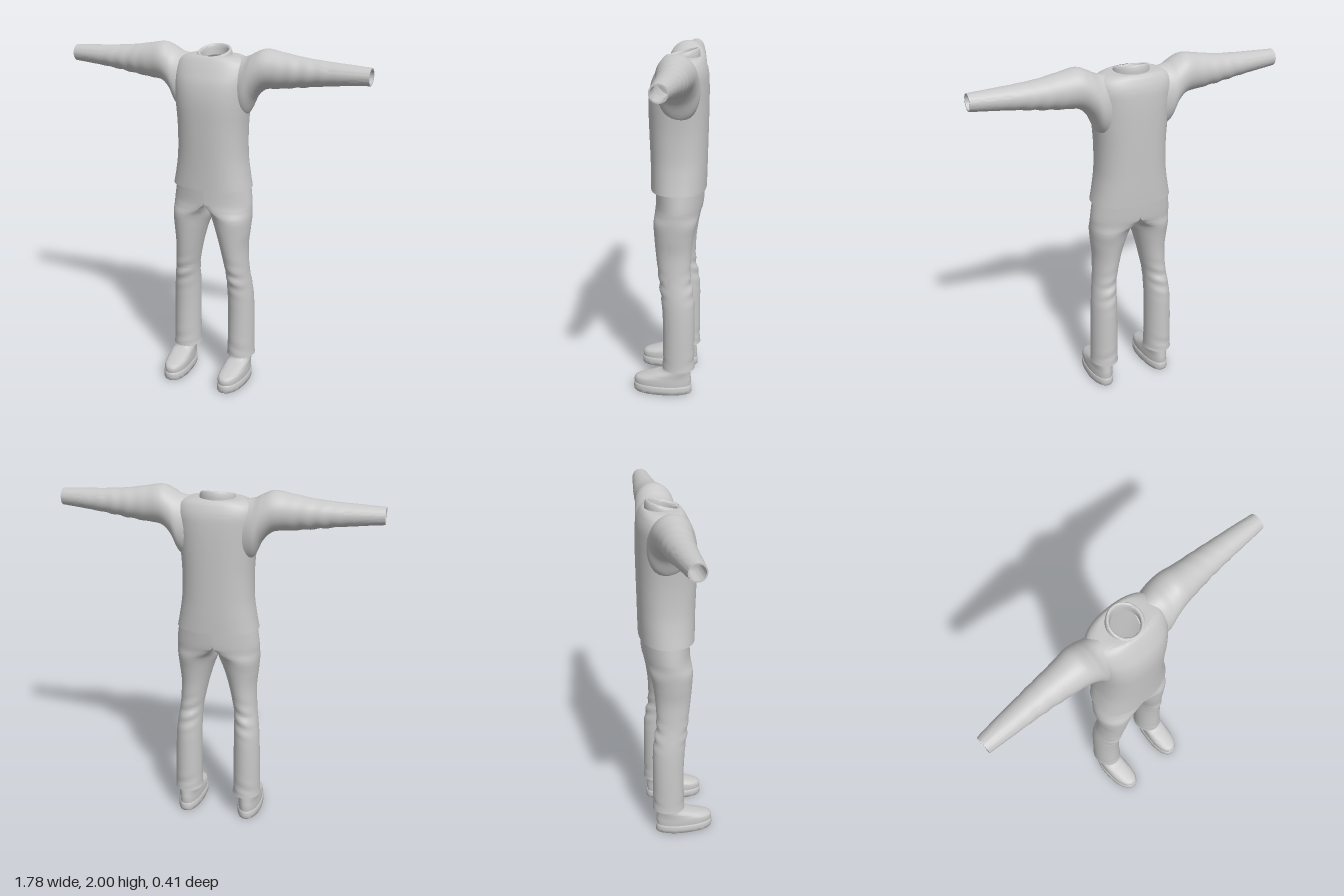
import * as THREE from 'three';
import { toCreasedNormals } from 'three/addons/utils/BufferGeometryUtils.js';

// Smooth interpolation between rows of ring parameters
function sampleRows(rows, sub) {
  const out = [];
  const at = (i) => rows[Math.min(Math.max(i, 0), rows.length - 1)];
  for (let i = 0; i < rows.length - 1; i++) {
    for (let s = 0; s < sub; s++) {
      const f = s / sub;
      out.push(rows[i].map((p1, k) => {
        const p0 = at(i - 1)[k], p2 = at(i + 1)[k], p3 = at(i + 2)[k];
        return p1 + 0.5 * f * (p2 - p0 + f * (2 * p0 - 5 * p1 + 4 * p2 - p3 + f * (3 * (p1 - p2) + p3 - p0)));
      }));
    }
  }
  out.push(rows[rows.length - 1]);
  return out;
}

// Skin a series of closed rings; side = -1 mirrors across x
function loft(rows, point, { side = 1, n = 40, sub = 6, capStart = false, capEnd = false } = {}) {
  const rings = sampleRows(rows, sub).map((row) =>
    Array.from({ length: n }, (_, j) => point(row, (j / n) * Math.PI * 2)));
  const pos = [], idx = [];
  const tri = (a, b, c) => (side > 0 ? idx.push(a, b, c) : idx.push(a, c, b));
  rings.forEach((ring) => ring.forEach((p) => pos.push(side * p[0], p[1], p[2])));
  for (let i = 0; i < rings.length - 1; i++) {
    for (let j = 0; j < n; j++) {
      const k = (j + 1) % n, a = i * n, b = a + n;
      tri(a + j, b + j, a + k);
      tri(b + j, b + k, a + k);
    }
  }
  const cap = (i, end) => {
    const c = pos.length / 3;
    const mid = [0, 1, 2].map((d) => rings[i].reduce((s, p) => s + p[d], 0) / n);
    pos.push(side * mid[0], mid[1], mid[2]);
    for (let j = 0; j < n; j++) {
      const a = i * n + j, b = i * n + (j + 1) % n;
      end ? tri(c, b, a) : tri(c, a, b);
    }
  };
  if (capStart) cap(0, false);
  if (capEnd) cap(rings.length - 1, true);
  const g = new THREE.BufferGeometry();
  g.setAttribute('position', new THREE.Float32BufferAttribute(pos, 3));
  g.setIndex(idx);
  return toCreasedNormals(g, 0.9);
}

const bump = (v, c, w) => Math.exp(-(((v - c) / w) ** 2));
const power = (v, e) => Math.sign(v) * Math.abs(v) ** e;

// Horizontal ring: [y, halfWidth, zFront, zBack, tilt]
const bodyPoint = (e) => ([y, w, zf, zb, tilt = 0], t) => [
  w * power(Math.cos(t), e),
  y - tilt * Math.sin(t),
  (zf + zb) / 2 + ((zf - zb) / 2) * power(Math.sin(t), e)];

// Sleeve ring: [x, top, bottom, zFront, zBack], with soft folds
const sleevePoint = ([x, top, bot, zf, zb], t) => {
  const fold = 1 + 0.035 * Math.sin(x * 75 + 3 * Math.sin(t)) * bump(x, 0.55, 0.15) * (0.6 - 0.4 * Math.cos(t));
  return [x,
    (top + bot) / 2 + ((top - bot) / 2) * fold * Math.cos(t),
    (zf + zb) / 2 - ((zf - zb) / 2) * fold * Math.sin(t)];
};

// Trouser ring: [y, inner, outer, zFront, zBack, merge]; merge flattens the inside at the centre line
const legPoint = ([y, xi, xo, zf, zb, merge], t) => {
  const c = Math.cos(t), s = Math.sin(t);
  const fold = 1 + 0.045 * Math.sin(y * 80 + 2 * c) * (bump(y, 0.66, 0.09) + 0.7 * bump(y, 0.22, 0.05));
  const legX = (xi + xo) / 2 + ((xo - xi) / 2) * c;
  return [THREE.MathUtils.lerp(legX, xo * Math.max(c, 0), merge), y, (zf + zb) / 2 + ((zf - zb) / 2) * fold * s];
};

// Shoe ring: [y, halfWidth, zFront, zBack], toe wider and turned slightly in
const shoePoint = ([y, w, zf, zb], t) => {
  const s = power(Math.sin(t), 0.88);
  const z = (zf + zb) / 2 + ((zf - zb) / 2) * s;
  return [0.186 - 0.05 * Math.max(z, 0) + w * power(Math.cos(t), 0.88) * (0.97 + 0.06 * s), y, z];
};

export function createModel() {
  const grey = new THREE.MeshStandardMaterial({ color: 0xc8c8c8, side: THREE.DoubleSide });
  grey.name = 'plain grey';
  const model = new THREE.Group();
  model.name = 'clothedFigure';
  const add = (name, geometry) => {
    const mesh = new THREE.Mesh(geometry, grey);
    mesh.name = name;
    model.add(mesh);
  };

  // Sweater body, open at the neck
  add('sweaterBody', loft([
    [1.21, 0.232, 0.115, -0.197], [1.3, 0.215, 0.116, -0.2], [1.4, 0.202, 0.119, -0.202],
    [1.55, 0.2, 0.125, -0.205], [1.7, 0.212, 0.128, -0.207], [1.8, 0.222, 0.115, -0.206],
    [1.87, 0.225, 0.088, -0.2], [1.92, 0.205, 0.062, -0.183], [1.945, 0.155, 0.045, -0.165],
    [1.95, 0.09, 0.036, -0.147],
  ], bodyPoint(0.85), { n: 56, capStart: true }));

  // Collar band, higher at the back, with a rolled lip
  add('collar', loft([
    [1.925, 0.1, 0.045, -0.155, 0.012], [1.95, 0.098, 0.045, -0.155, 0.018], [1.968, 0.092, 0.04, -0.15, 0.022],
    [1.972, 0.083, 0.03, -0.142, 0.024], [1.96, 0.076, 0.022, -0.134, 0.022], [1.92, 0.074, 0.02, -0.13, 0.015],
  ], bodyPoint(1), { sub: 4 }));

  for (const side of [1, -1]) {
    const label = side > 0 ? 'left' : 'right';

    // Sleeve with a hollow cuff
    add(label + 'Sleeve', loft([
      [0.15, 1.945, 1.6, 0.045, -0.165], [0.205, 1.955, 1.635, 0.06, -0.178], [0.25, 1.978, 1.725, 0.058, -0.172],
      [0.31, 1.999, 1.78, 0.05, -0.163], [0.4, 1.986, 1.792, 0.036, -0.15], [0.52, 1.967, 1.808, 0.021, -0.14],
      [0.65, 1.956, 1.826, 0.012, -0.125], [0.78, 1.949, 1.84, 0.006, -0.11], [0.89, 1.943, 1.85, 0, -0.095],
    ], sleevePoint, { side, sub: 10 }));
    add(label + 'CuffLining', loft([
      [0.89, 1.943, 1.85, 0, -0.095], [0.89, 1.936, 1.857, -0.007, -0.088], [0.75, 1.936, 1.857, -0.007, -0.088],
    ], sleevePoint, { side, sub: 1 }));

    // Trouser leg, joined to its twin above the crotch
    add(label + 'TrouserLeg', loft([
      [0.155, 0.095, 0.262, 0.034, -0.155, 0], [0.2, 0.099, 0.259, 0.032, -0.152, 0],
      [0.4, 0.1, 0.255, 0.03, -0.152, 0], [0.55, 0.1, 0.248, 0.038, -0.15, 0],
      [0.65, 0.098, 0.236, 0.05, -0.136, 0], [0.72, 0.09, 0.228, 0.058, -0.125, 0],
      [0.85, 0.062, 0.223, 0.075, -0.128, 0], [0.95, 0.033, 0.233, 0.085, -0.14, 0],
      [1.03, 0.003, 0.24, 0.09, -0.156, 0], [1.08, 0, 0.24, 0.09, -0.17, 0.6],
      [1.13, 0, 0.238, 0.09, -0.183, 1], [1.25, 0, 0.222, 0.09, -0.19, 1],
    ], legPoint, { side, sub: 8, capStart: true, capEnd: true }));

    // Shoe sole and upper
    add(label + 'ShoeSole', loft([
      [0, 0.07, 0.198, -0.133], [0.008, 0.075, 0.205, -0.139], [0.04, 0.075, 0.206, -0.139], [0.05, 0.071, 0.201, -0.135],
    ], shoePoint, { side, sub: 2, capStart: true, capEnd: true }));
    add(label + 'ShoeUpper', loft([
      [0.045, 0.069, 0.2, -0.133], [0.07, 0.07, 0.203, -0.135], [0.09, 0.069, 0.192, -0.135],
      [0.105, 0.067, 0.15, -0.133], [0.125, 0.065, 0.085, -0.131], [0.145, 0.063, 0.03, -0.129],
      [0.2, 0.06, 0.015, -0.127],
    ], shoePoint, { side, sub: 4, capEnd: true }));
  }
  return model;
}
